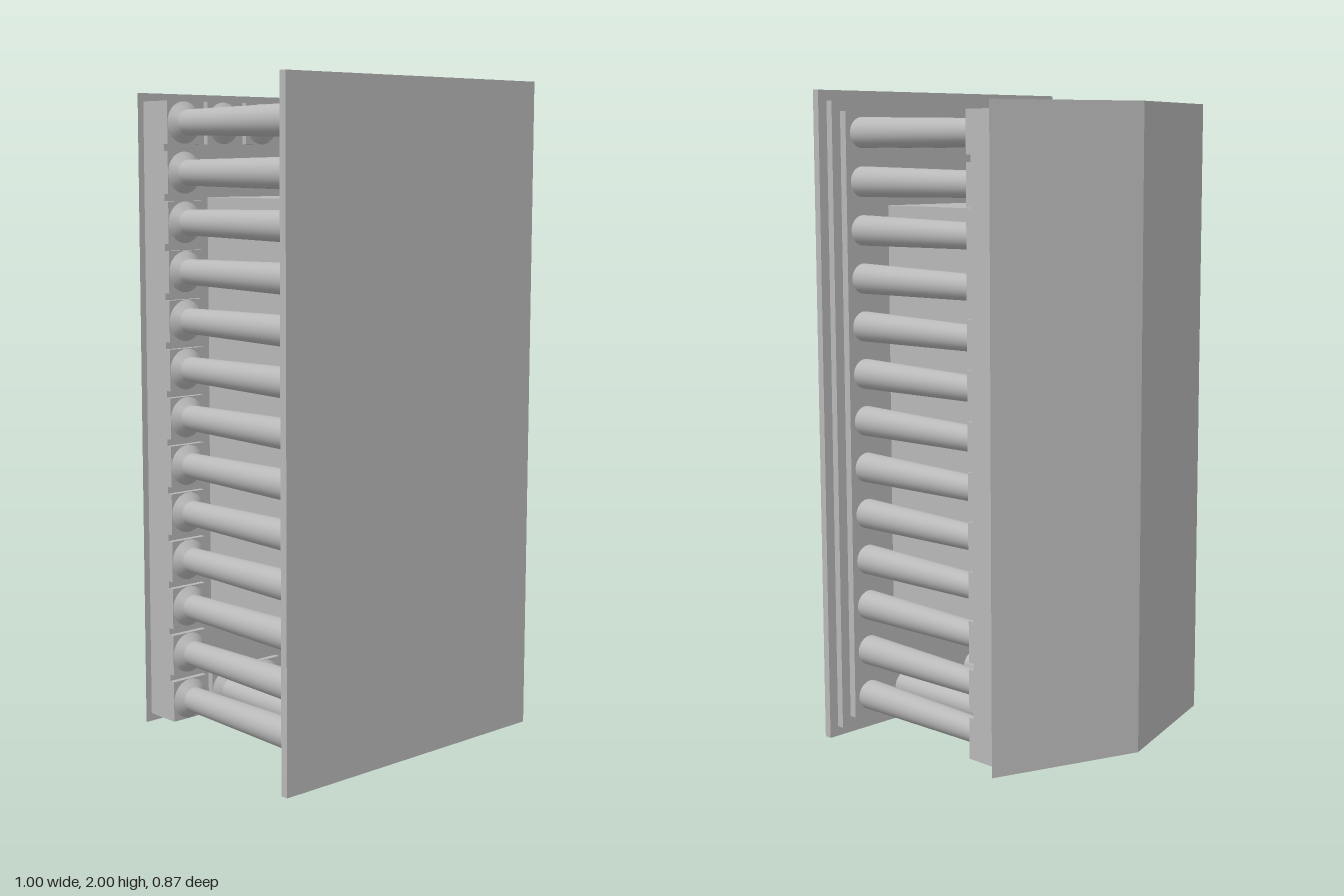
import * as THREE from 'three';

export function createModel() {
  const model = new THREE.Group();
  model.name = 'columnedTemple';
  const stone = new THREE.MeshStandardMaterial({ color: 0xb8b8b8 });
  stone.name = 'grey stone';

  // The temple is built upright, then laid on its back: base to +z, roof ridge to -z
  const temple = new THREE.Group();
  temple.name = 'temple';
  temple.rotation.x = -Math.PI / 2;
  temple.position.set(0, 1, 0.433);
  model.add(temple);

  const add = (parent, name, geometry, x = 0, y = 0, z = 0) => {
    const mesh = new THREE.Mesh(geometry, stone);
    mesh.name = name;
    mesh.position.set(x, y, z);
    parent.add(mesh);
  };
  const block = (name, width, length, bottom, top) =>
    add(temple, name, new THREE.BoxGeometry(width, top - bottom, length), 0, (bottom + top) / 2, 0);

  // Stepped base
  block('lowerStep', 1, 2, 0, 0.024);
  block('middleStep', 0.938, 1.938, 0.024, 0.048);
  block('upperStep', 0.875, 1.875, 0.048, 0.073);

  // Inner chamber and the beam above the columns
  block('chamber', 0.55, 1.312, 0.073, 0.611);
  block('entablature', 0.875, 1.875, 0.611, 0.708);

  // Gabled roof
  const gable = new THREE.Shape();
  gable.moveTo(-0.458, 0);
  gable.lineTo(0.458, 0);
  gable.lineTo(0, 0.158);
  gable.closePath();
  const roof = new THREE.ExtrudeGeometry(gable, { depth: 1.924, bevelEnabled: false });
  add(temple, 'roof', roof, 0, 0.708, -0.962);

  // Tapered columns around the edge, each with a flared capital and square slab
  const shaft = new THREE.CylinderGeometry(0.038, 0.046, 0.5, 32);
  const capital = new THREE.CylinderGeometry(0.0615, 0.038, 0.02, 32);
  const slab = new THREE.BoxGeometry(0.125, 0.018, 0.125);
  const addColumn = (x, z) => {
    const column = new THREE.Group();
    column.name = 'column';
    column.position.set(x, 0.073, z);
    add(column, 'shaft', shaft, 0, 0.25, 0);
    add(column, 'capital', capital, 0, 0.51, 0);
    add(column, 'capitalSlab', slab, 0, 0.529, 0);
    temple.add(column);
  };
  const across = 6, along = 13;
  for (let i = 0; i < across; i++) {
    for (let j = 0; j < along; j++) {
      const onEdge = i === 0 || i === across - 1 || j === 0 || j === along - 1;
      if (onEdge) addColumn(-0.375 + i * 0.15, -0.875 + (j * 1.75) / (along - 1));
    }
  }
  return model;
}
